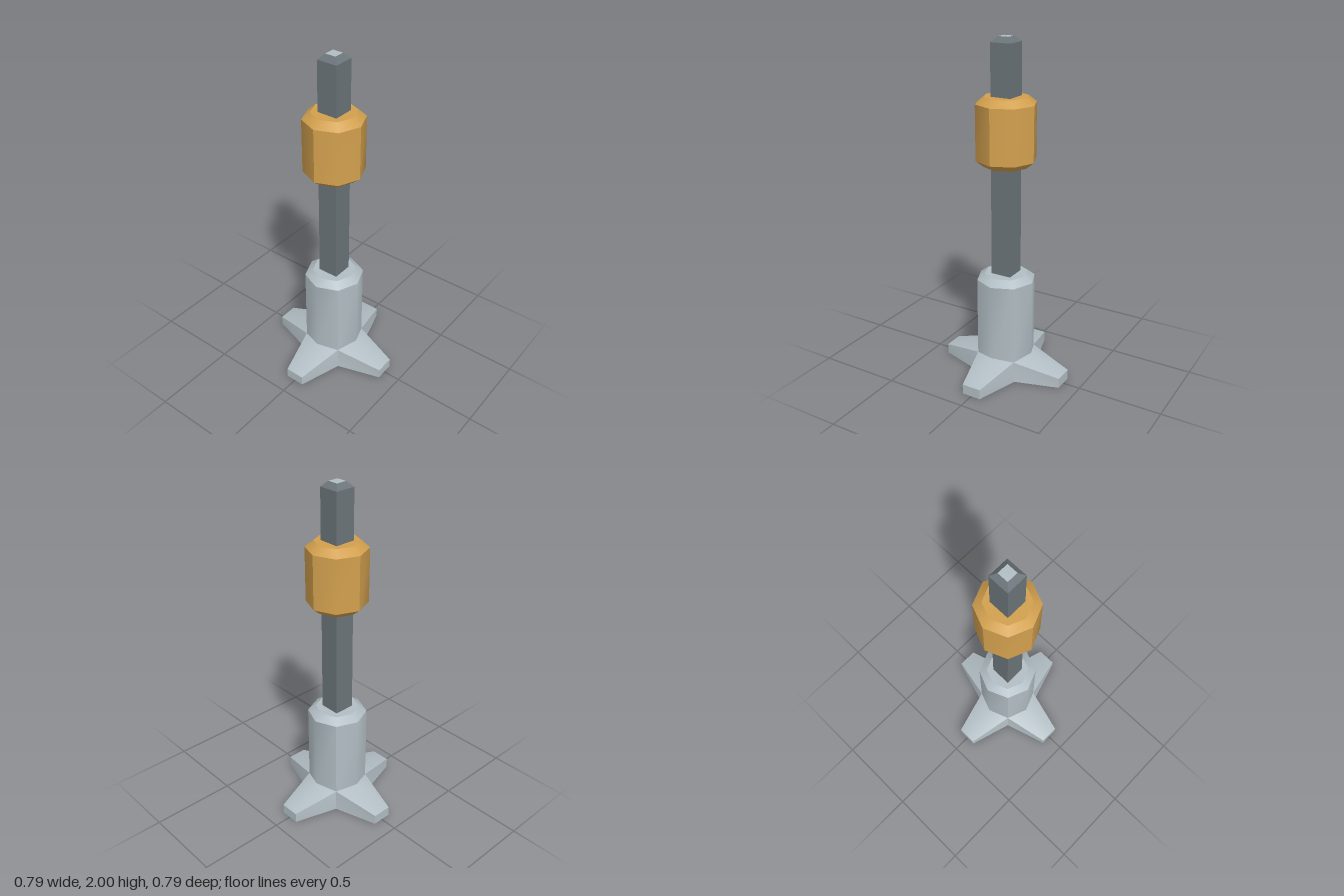
import * as THREE from 'three';
import { toCreasedNormals } from 'three/addons/utils/BufferGeometryUtils.js';

const steel = new THREE.MeshStandardMaterial({ name: 'light steel', color: 0xb2bec4 });
const iron = new THREE.MeshStandardMaterial({ name: 'dark iron', color: 0x6c757a });
const brass = new THREE.MeshStandardMaterial({ name: 'brass', color: 0xd2a04e });

function add(parent, name, geometry, material, y = 0) {
  const mesh = new THREE.Mesh(geometry, material);
  mesh.name = name;
  mesh.position.y = y;
  parent.add(mesh);
  return mesh;
}

// Octagonal wall made of four two-sided panels, each softly shaded and creased at its ends
function octagonWall(parent, name, material, radius, y0, y1, start) {
  for (let i = 0; i < 4; i++) {
    const g = new THREE.CylinderGeometry(radius, radius, y1 - y0, 2, 1, true, start + i * Math.PI / 2, Math.PI / 2);
    g.computeVertexNormals();
    add(parent, name, g, material, (y0 + y1) / 2);
  }
}

function bevel(parent, name, material, rBottom, rTop, y0, y1) {
  add(parent, name, new THREE.CylinderGeometry(rTop, rBottom, y1 - y0, 8, 1, true), material, (y0 + y1) / 2);
}

function cap(parent, name, material, radius, y, up = true) {
  add(parent, name, new THREE.CircleGeometry(radius, 8).rotateX(up ? -Math.PI / 2 : Math.PI / 2), material, y);
}

// One tapered foot pointing to +z, including its quarter of the underside
function footGeometry() {
  const ridge = [0, 0.14, 0.175], centre = [0, 0, 0];
  const corner = s => [s * 0.124, 0.12, 0.124];
  const valley = s => [s * 0.137, 0, 0.137];
  const toeTop = s => [s * 0.058, 0.06, 0.394];
  const toeLow = s => [s * 0.058, 0, 0.394];
  const faces = [
    [ridge, toeTop(1), corner(1)],
    [ridge, toeTop(-1), toeTop(1)],
    [ridge, corner(-1), toeTop(-1)],
    [toeTop(-1), toeLow(-1), toeLow(1), toeTop(1)],
    [toeTop(1), toeLow(1), valley(1), corner(1)],
    [corner(-1), valley(-1), toeLow(-1), toeTop(-1)],
    [centre, valley(1), valley(-1)],
    [valley(1), toeLow(1), toeLow(-1), valley(-1)],
  ];
  const points = [];
  for (const f of faces)
    for (let i = 1; i < f.length - 1; i++) points.push(...f[0], ...f[i], ...f[i + 1]);
  const g = new THREE.BufferGeometry();
  g.setAttribute('position', new THREE.Float32BufferAttribute(points, 3));
  g.computeVertexNormals();
  return toCreasedNormals(g, 0.6);
}

export function createModel() {
  const model = new THREE.Group();
  model.name = 'pillar';

  // Four feet in a cross
  const feet = new THREE.Group();
  feet.name = 'feet';
  const foot = footGeometry();
  for (let i = 0; i < 4; i++) add(feet, 'foot', foot, steel).rotation.y = i * Math.PI / 2;

  // Octagonal base column
  const base = new THREE.Group();
  base.name = 'baseColumn';
  octagonWall(base, 'baseWall', steel, 0.175, 0.11, 0.6, Math.PI / 4);
  bevel(base, 'baseBevel', steel, 0.175, 0.128, 0.6, 0.635);
  cap(base, 'baseTop', steel, 0.128, 0.635);

  // Square rod with a chamfered tip
  const rod = new THREE.Group();
  rod.name = 'rod';
  add(rod, 'rodShaft', new THREE.BoxGeometry(0.124, 1.37, 0.124), iron, 1.285);
  const tip = new THREE.CylinderGeometry(0.032 * Math.SQRT2, 0.062 * Math.SQRT2, 0.03, 4, 1, true)
    .rotateY(Math.PI / 4);
  add(rod, 'rodChamfer', toCreasedNormals(tip, 0.1), iron, 1.985);
  add(rod, 'rodTip', new THREE.PlaneGeometry(0.064, 0.064).rotateX(-Math.PI / 2), steel, 2);

  // Octagonal brass collar, bevelled at both ends
  const collar = new THREE.Group();
  collar.name = 'collar';
  cap(collar, 'collarUnderside', brass, 0.128, 1.287, false);
  bevel(collar, 'collarLowerBevel', brass, 0.128, 0.175, 1.287, 1.325);
  octagonWall(collar, 'collarWall', brass, 0.175, 1.325, 1.642, 0);
  bevel(collar, 'collarUpperBevel', brass, 0.175, 0.128, 1.642, 1.68);
  cap(collar, 'collarTop', brass, 0.128, 1.68);

  model.add(feet, base, rod, collar);
  return model;
}
